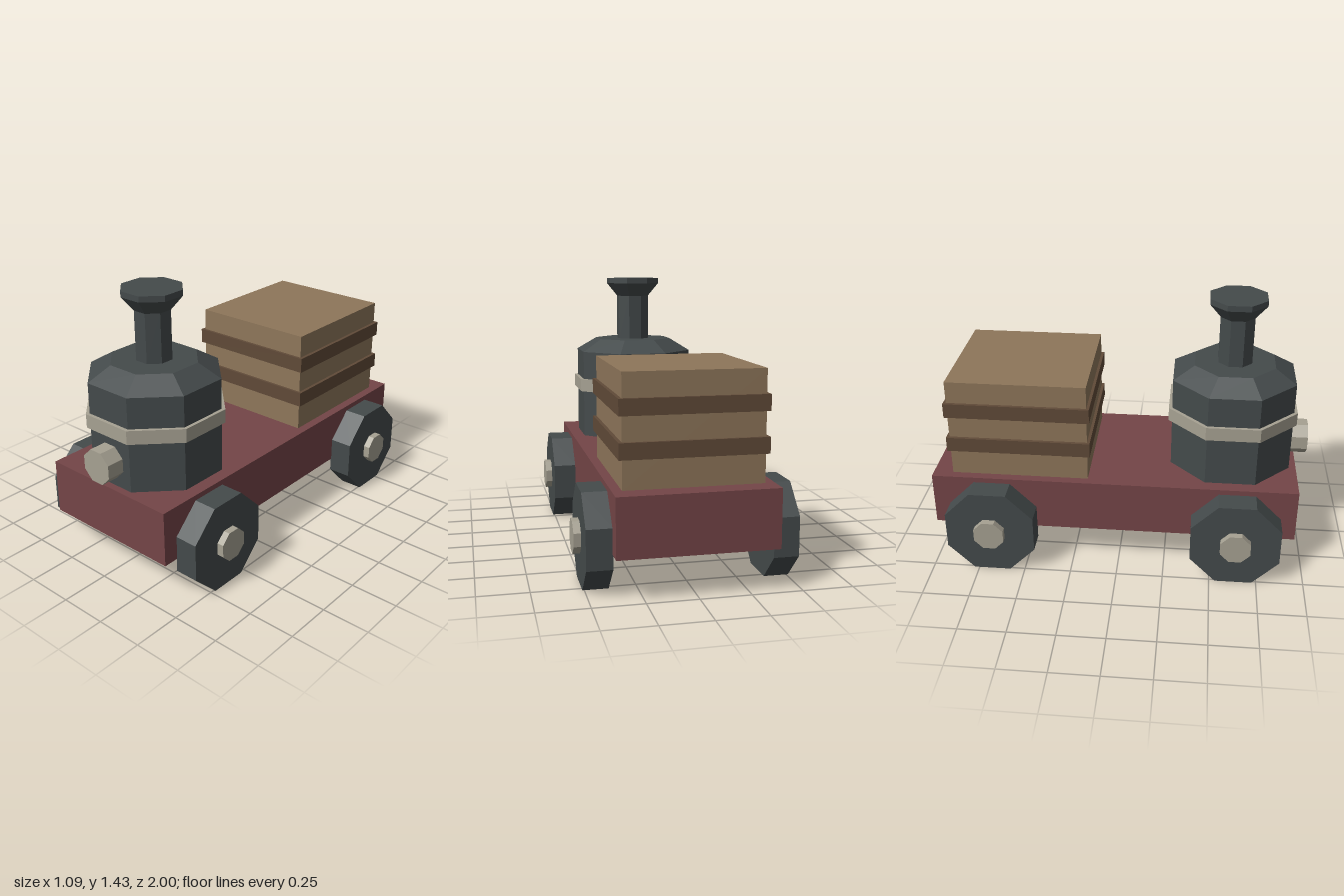
import * as THREE from 'three';

const material = (name, color) => {
  const m = new THREE.MeshStandardMaterial({ color, flatShading: true });
  m.name = name;
  return m;
};

// Octagonal prism or frustum measured across its flats, flats facing the axes
function octagon(topApothem, bottomApothem, height) {
  const k = 1 / Math.cos(Math.PI / 8);
  return new THREE.CylinderGeometry(topApothem * k, bottomApothem * k, height, 8).rotateY(Math.PI / 8);
}

export function createModel() {
  const red = material('dull red', 0x744547);
  const iron = material('dark iron', 0x444a4b);
  const cream = material('pale metal', 0xa6a192);
  const wood = material('light wood', 0x8e765a);
  const slat = material('dark wood', 0x604a38);

  const model = new THREE.Group();
  model.name = 'toyTrain';

  function add(name, geometry, mat, x, y, z, parent = model) {
    const mesh = new THREE.Mesh(geometry, mat);
    mesh.name = name;
    mesh.position.set(x, y, z);
    parent.add(mesh);
    return mesh;
  }

  // Wagon bed
  add('chassis', new THREE.BoxGeometry(0.775, 0.29, 1.945), red, 0, 0.355, -0.0275);

  // Upright boiler and chimney, stacked from octagonal sections
  const engine = new THREE.Group();
  engine.name = 'engine';
  engine.position.z = 0.587;
  model.add(engine);
  const sections = [
    // name, material, bottom y, top y, bottom apothem, top apothem
    ['boiler', iron, 0.5, 1.0, 0.32, 0.32],
    ['boilerShoulder', iron, 1.0, 1.07, 0.32, 0.21],
    ['boilerBand', cream, 0.768, 0.84, 0.338, 0.338],
    ['chimney', iron, 1.07, 1.325, 0.088, 0.088],
    ['chimneyFlare', iron, 1.325, 1.4, 0.088, 0.146],
    ['chimneyRim', iron, 1.4, 1.43, 0.146, 0.146],
  ];
  for (const [name, mat, y0, y1, r0, r1] of sections) {
    add(name, octagon(r1, r0, y1 - y0), mat, 0, (y0 + y1) / 2, 0, engine);
  }

  // Front lamp
  add('lamp', octagon(0.085, 0.085, 0.12).rotateX(Math.PI / 2), cream, 0, 0.63, 0.94);

  // Crate with two slats around it
  add('crate', new THREE.BoxGeometry(0.68, 0.54, 0.73), wood, 0, 0.77, -0.53);
  for (const y of [0.682, 0.882]) {
    add('crateSlat', new THREE.BoxGeometry(0.714, 0.079, 0.76), slat, 0, y, -0.53);
  }

  // Wheels with hubs
  for (const side of [-1, 1]) {
    for (const z of [0.628, -0.677]) {
      const wheel = new THREE.Group();
      wheel.name = (z > 0 ? 'front' : 'rear') + (side > 0 ? 'LeftWheel' : 'RightWheel');
      wheel.position.set(side * 0.447, 0.236, z);
      model.add(wheel);
      add('tyre', octagon(0.236, 0.236, 0.125).rotateZ(Math.PI / 2), iron, 0, 0, 0, wheel);
      add('hub', octagon(0.079, 0.079, 0.06).rotateZ(Math.PI / 2), cream, side * 0.068, 0.002, 0, wheel);
    }
  }

  return model;
}
